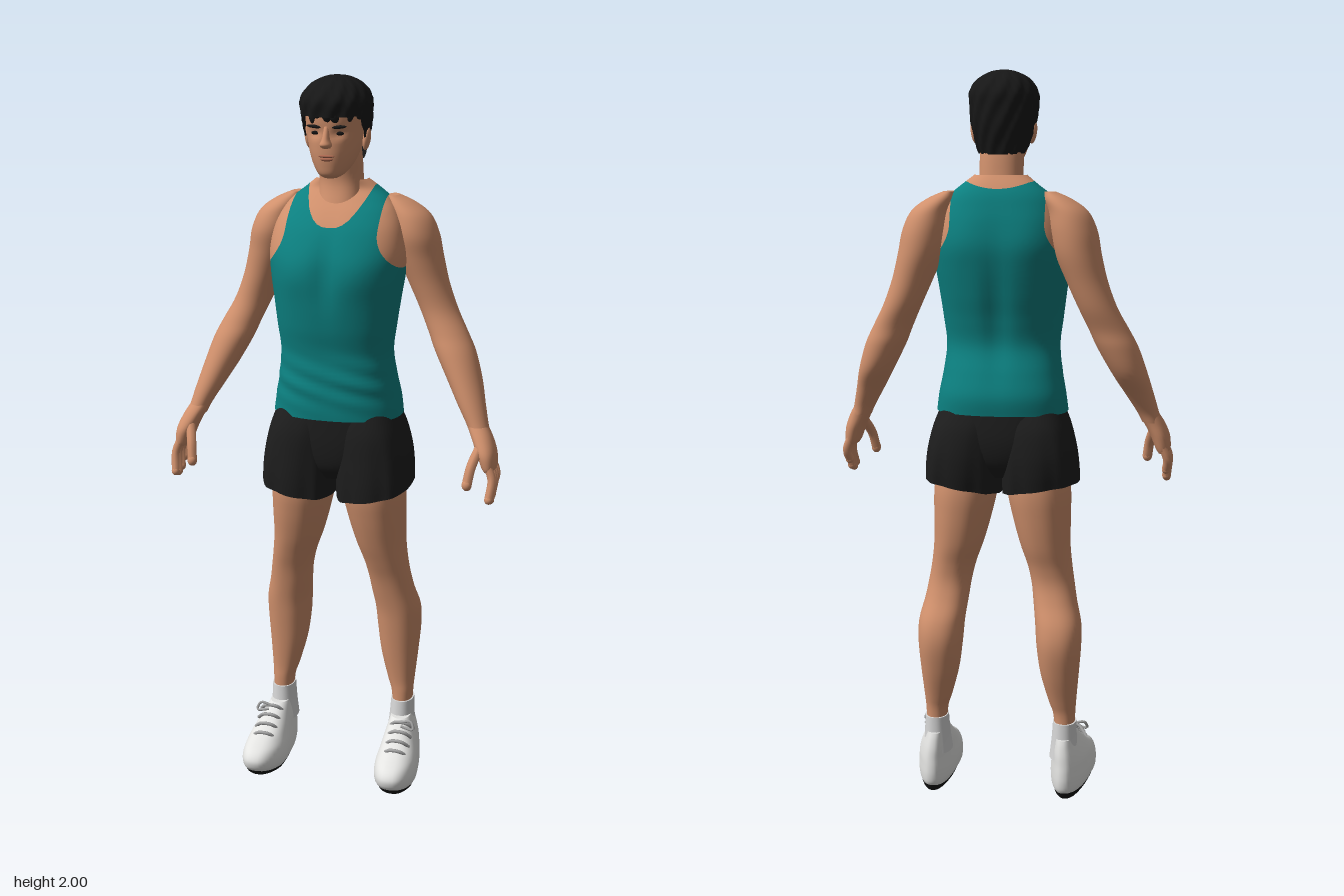
import * as THREE from 'three';

const mat = (name, color, side = THREE.FrontSide) => {
  const m = new THREE.MeshStandardMaterial({ color, side });
  m.name = name;
  return m;
};

// Smooth body part from level slices, bottom to top: [y, x0, x1, z0, z1]
function loft(rows, { n = 2.2, seg = 48, sub = 5, warp = null, caps = true } = {}) {
  const pos = [], idx = [], rings = (rows.length - 1) * sub + 1;
  const cr = (a, b, c, d, t) =>
    b + 0.5 * t * (c - a + t * (2 * a - 5 * b + 4 * c - d + t * (3 * (b - c) + d - a)));
  const at = i => rows[Math.max(0, Math.min(rows.length - 1, i))];
  const pw = v => Math.sign(v) * Math.abs(v) ** (2 / n);
  const p = new THREE.Vector3();
  for (let i = 0; i < rings; i++) {
    const k = Math.min(Math.floor(i / sub), rows.length - 2), t = i / sub - k;
    const [y, x0, x1, z0, z1] = at(k).map((_, c) => cr(at(k - 1)[c], at(k)[c], at(k + 1)[c], at(k + 2)[c], t));
    for (let j = 0; j < seg; j++) {
      const a = j / seg * Math.PI * 2;
      p.set((x0 + x1 + (x1 - x0) * pw(Math.cos(a))) / 2, y, (z0 + z1 + (z1 - z0) * pw(Math.sin(a))) / 2);
      if (warp) warp(p, a);
      pos.push(p.x, p.y, p.z);
    }
  }
  for (let i = 0; i < rings - 1; i++) for (let j = 0; j < seg; j++) {
    const a = i * seg + j, b = i * seg + (j + 1) % seg;
    idx.push(a, a + seg, b, b, a + seg, b + seg);
  }
  // Separate cap vertices keep the end edges crisp
  if (caps) for (const r of [0, rings - 1]) {
    const s = pos.length / 3, ring = pos.slice(r * seg * 3, (r + 1) * seg * 3), c = [0, 0, 0];
    ring.forEach((v, i) => { c[i % 3] += v / seg; });
    pos.push(...ring, ...c);
    for (let j = 0; j < seg; j++) {
      const e = [s + j, s + (j + 1) % seg];
      idx.push(s + seg, ...(r ? e.reverse() : e));
    }
  }
  const g = new THREE.BufferGeometry();
  g.setAttribute('position', new THREE.Float32BufferAttribute(pos, 3));
  g.setIndex(idx);
  g.computeVertexNormals();
  return g;
}
const sym = rows => rows.map(([y, x, z0, z1]) => [y, -x, x, z0, z1]);

// Cuts a surface along f = 0; sign picks the side that is kept
function cut(geo, f, sign) {
  const g = geo.toNonIndexed(), P = g.attributes.position, N = g.attributes.normal, pos = [], nor = [];
  for (let i = 0; i < P.count; i += 3) {
    const tri = [i, i + 1, i + 2].map(k => [P.getX(k), P.getY(k), P.getZ(k), N.getX(k), N.getY(k), N.getZ(k)]);
    const d = tri.map(v => sign * f(v[0], v[1], v[2])), poly = [];
    tri.forEach((v, k) => {
      const m = (k + 1) % 3;
      if (d[k] >= 0) poly.push(v);
      if ((d[k] >= 0) !== (d[m] >= 0)) poly.push(v.map((c, q) => c + (tri[m][q] - c) * d[k] / (d[k] - d[m])));
    });
    for (let k = 1; k + 1 < poly.length; k++) for (const v of [poly[0], poly[k], poly[k + 1]]) {
      pos.push(v[0], v[1], v[2]);
      nor.push(v[3], v[4], v[5]);
    }
  }
  const out = new THREE.BufferGeometry();
  out.setAttribute('position', new THREE.Float32BufferAttribute(pos, 3));
  out.setAttribute('normal', new THREE.Float32BufferAttribute(nor, 3));
  return out;
}

function mirror(geo) {
  const g = geo.clone().scale(-1, 1, 1);
  g.setIndex([...g.index.array].reverse());
  return g;
}
const ball = (x, y, z, rx, ry, rz, turn = 0) =>
  new THREE.SphereGeometry(1, 20, 14).scale(rx, ry, rz).rotateZ(turn).translate(x, y, z);
const tube = (pts, r) => new THREE.TubeGeometry(
  new THREE.CatmullRomCurve3(pts.map(p => new THREE.Vector3(...p))), 14, r, 8);
const bump = (x, y, cx, cy, sx, sy) => Math.exp(-(((x - cx) / sx) ** 2) - ((y - cy) / sy) ** 2);
const mix = THREE.MathUtils.lerp, clamp = THREE.MathUtils.clamp;

export function createModel() {
  const D = THREE.DoubleSide;
  const skin = mat('skin', 0xd0906c), teal = mat('teal cloth', 0x0c8080, D), black = mat('black cloth', 0x1d1d1d, D);
  const hair = mat('hair', 0x171717, D), white = mat('shoe white', 0xe4e4e2), sock = mat('sock', 0xd6d6d6);
  const rubber = mat('sole rubber', 0x121212), grey = mat('lace grey', 0xa4a4a4), lip = mat('lips', 0xa9674f);
  const body = new THREE.Group();
  body.name = 'athlete';
  const add = (name, geo, m) => {
    const mesh = new THREE.Mesh(geo, m);
    mesh.name = name;
    body.add(mesh);
  };
  const pair = (name, geo, m) => {
    add('left ' + name, geo, m);
    add('right ' + name, mirror(geo), m);
  };

  // Torso with chest and spine shape, cut into vest and bare skin
  const torso = loft(sym([[1.09, .18, -.158, .097], [1.14, .173, -.162, .099], [1.2, .162, -.145, .098],
    [1.27, .155, -.122, .095], [1.34, .163, -.132, .108], [1.41, .172, -.15, .116], [1.48, .182, -.164, .117],
    [1.54, .187, -.17, .108], [1.6, .177, -.163, .08], [1.645, .157, -.152, .042], [1.675, .133, -.142, .006],
    [1.7, .102, -.128, -.022], [1.725, .07, -.11, -.02]]), {
    n: 2.35, seg: 80, sub: 6, caps: false,
    warp: p => {
      const x = Math.abs(p.x);
      if (p.z > 0) p.z += .009 * bump(x, p.y, .085, 1.49, .06, .06) - .008 * bump(x, p.y, 0, 1.5, .025, .1)
        + .004 * Math.sin(p.y * 110 + p.x * 30) * bump(x, p.y, .08, 1.19, .15, .06);
      else p.z += .012 * bump(x, p.y, 0, 1.38, .03, .16) - .006 * bump(x, p.y, .09, 1.56, .05, .07);
    },
  });
  const vest = (x, y, z) => {
    const u = Math.abs(x), side = .126 + 6 * Math.max(0, 1.6 - y) ** 2 - u;
    const front = 1.61 + .09 * (u / .088) ** 2.6, back = 1.69 + .02 * (u / .09) ** 2;
    return Math.min(side, mix(front, back, clamp((-.05 - z) / .05, 0, 1)) - y);
  };
  add('vest', cut(torso, vest, 1), teal);
  add('shoulder skin', cut(torso, vest, -1), skin);

  // Neck and head
  add('neck', loft(sym([[1.6, .064, -.125, .04], [1.66, .063, -.118, .018], [1.72, .059, -.108, 0],
    [1.78, .058, -.1, .01], [1.82, .055, -.09, .02]])), skin);
  add('head', loft(sym([[1.74, .018, .025, .07], [1.75, .034, -.005, .084], [1.772, .05, -.045, .09],
    [1.8, .062, -.075, .094], [1.83, .07, -.097, .095], [1.87, .076, -.109, .096], [1.91, .08, -.113, .098],
    [1.95, .076, -.105, .09], [1.98, .05, -.07, .05], [1.99, .02, -.03, .02]]), {
    warp: p => {
      if (p.z > .03) p.z -= .009 * bump(Math.abs(p.x), p.y, .032, 1.857, .018, .012);
    },
  }), skin);
  add('nose', loft(sym([[1.82, .011, .075, .106], [1.829, .016, .075, .117], [1.845, .01, .075, .111],
    [1.875, .007, .075, .097]]), { seg: 20 }), skin);
  pair('ear', ball(.079, 1.835, -.014, .01, .03, .018, -.15), skin);
  pair('eyebrow', ball(.032, 1.874, .089, .021, .0045, .008, .08), hair);
  pair('eye', ball(.032, 1.857, .08, .012, .005, .006), rubber);
  add('upper lip', ball(0, 1.799, .092, .022, .004, .006), lip);
  add('lower lip', ball(0, 1.791, .091, .017, .005, .006), lip);

  // Hair shell trimmed at the hairline, with a rough fringe
  const line = [[-.2, 1.775], [-.045, 1.78], [-.025, 1.845], [.018, 1.84], [.035, 1.87], [.06, 1.9], [.2, 1.895]];
  const hairline = (x, y, z) => {
    const k = Math.max(1, line.findIndex(q => q[0] >= z)), [a, b] = [line[k - 1], line[k]];
    return y - mix(a[1], b[1], (z - a[0]) / (b[0] - a[0]));
  };
  add('hair', cut(loft(sym([[1.765, .055, -.1, .05], [1.8, .073, -.108, .09], [1.85, .084, -.119, .1],
    [1.9, .09, -.122, .106], [1.94, .09, -.119, .107], [1.972, .07, -.096, .08], [1.992, .036, -.055, .035],
    [1.998, .008, -.015, 0]]), {
    seg: 96, sub: 8,
    warp: (p, a) => {
      const s = 1 + .02 * Math.sin(a * 13 + p.y * 70) + .012 * Math.sin(a * 29 - p.y * 110);
      p.x *= s;
      p.z = (p.z + .01) * s - .01;
    },
  }), hairline, 1), hair);
  for (let i = 0; i < 9; i++) {
    const a = (i - 4) / 4;
    add('fringe lock', ball(a * .07, 1.91 + .007 * Math.sin(i * 2.4), .094 - .05 * a * a, .014, .024, .012,
      .5 * Math.sin(i * 1.7)), hair);
  }

  // Arms
  pair('arm', loft([[1.06, .38, .433, -.028, .042], [1.09, .365, .425, -.037, .034], [1.14, .335, .412, -.065, .024],
    [1.2, .3, .396, -.106, .01], [1.27, .262, .373, -.125, -.008], [1.32, .24, .348, -.13, -.025],
    [1.38, .212, .316, -.145, -.037], [1.45, .18, .29, -.155, -.032], [1.52, .15, .273, -.165, -.02],
    [1.58, .135, .261, -.165, -.01], [1.63, .13, .237, -.155, -.02], [1.662, .12, .195, -.137, -.04],
    [1.682, .12, .15, -.115, -.06]], { n: 2 }), skin);
  pair('palm', loft([[.972, .424, .452, -.012, .07], [.985, .416, .458, -.018, .076], [1.02, .402, .455, -.024, .075],
    [1.055, .385, .442, -.026, .056], [1.085, .37, .425, -.03, .035]], { seg: 28 }), skin);
  [[-.008, .925], [.015, .904], [.039, .896], [.062, .903]].forEach(([z, y], i) => {
    const tip = [.447, y, z + .022];
    pair('finger ' + (i + 1), tube([[.436, .995, z], [.451, .955, z + .006], tip], .0115), skin);
    pair('fingertip ' + (i + 1), ball(...tip, .0115, .0125, .0115), skin);
  });
  pair('thumb', tube([[.412, 1.035, .048], [.397, .99, .083], [.39, .945, .1]], .0135), skin);
  pair('thumb tip', ball(.39, .945, .1, .0135, .016, .0135), skin);

  // Legs
  pair('leg', loft([[.19, .155, .21, -.113, -.035], [.24, .15, .212, -.115, -.035], [.28, .137, .215, -.125, -.035],
    [.36, .116, .222, -.148, -.028], [.44, .105, .228, -.162, -.02], [.5, .1, .227, -.154, -.013],
    [.56, .092, .213, -.126, -.002], [.61, .085, .204, -.112, .01], [.66, .073, .196, -.115, .027],
    [.72, .052, .19, -.129, .047], [.8, .03, .19, -.14, .068], [.88, .014, .188, -.144, .08],
    [.98, .012, .17, -.13, .07]]), skin);

  // Shorts: hips and two open legs with a slanted hem
  add('shorts hips', loft(sym([[.91, .06, -.1, .05], [.95, .13, -.14, .08], [1.02, .175, -.155, .09],
    [1.11, .172, -.148, .088]])), black);
  pair('shorts leg', loft([[.872, .003, .212, -.155, .1], [.92, .001, .21, -.163, .102], [.98, 0, .203, -.166, .1],
    [1.05, 0, .187, -.157, .094], [1.11, 0, .165, -.13, .075]], {
    n: 2.5, seg: 64, caps: false,
    warp: (p, a) => {
      const low = clamp((1.08 - p.y) / .2, 0, 1);
      p.y += low * ((p.x - .1) * .17 - p.z * .08);
      p.z += low * .004 * Math.sin(a * 9);
    },
  }), black);

  // Socks and running shoes; the outline narrows at the heel and lifts at the toe
  pair('sock', loft([[.11, .14, .222, -.125, -.015], [.16, .146, .217, -.121, -.024], [.215, .15, .215, -.119, -.03]]), sock);
  const last = p => {
    const t = (p.z + .14) / .31;
    p.x = .187 + .014 * t + (p.x - .208) * (.74 + .32 * Math.min(1, t * 1.5));
    p.y += .014 * Math.max(0, t - .7) / .3;
  };
  pair('shoe', loft([[.016, .157, .26, -.132, .155], [.03, .15, .266, -.141, .167], [.052, .148, .268, -.145, .17],
    [.076, .15, .266, -.145, .153], [.1, .154, .262, -.143, .112], [.128, .158, .252, -.14, .062],
    [.155, .164, .24, -.134, .02], [.172, .167, .234, -.128, -.008]], { n: 2.4, warp: last }), white);
  pair('sole', loft([[0, .168, .25, -.122, .138], [.008, .16, .257, -.13, .15], [.022, .156, .262, -.136, .16]],
    { n: 2.4, sub: 3, warp: last }), rubber);
  for (let i = 0; i < 4; i++) {
    const y = .116 + i * .017, z = .088 - i * .026;
    pair('lace ' + (i + 1), tube([[.163, y - .016, z - .012], [.182, y + .002, z], [.212, y + .002, z],
      [.232, y - .016, z - .012]], .005), grey);
  }
  pair('lace bow', tube([[.198, .172, .012], [.228, .178, .014], [.236, .158, .022], [.2, .164, .022]], .004), grey);
  return body;
}
